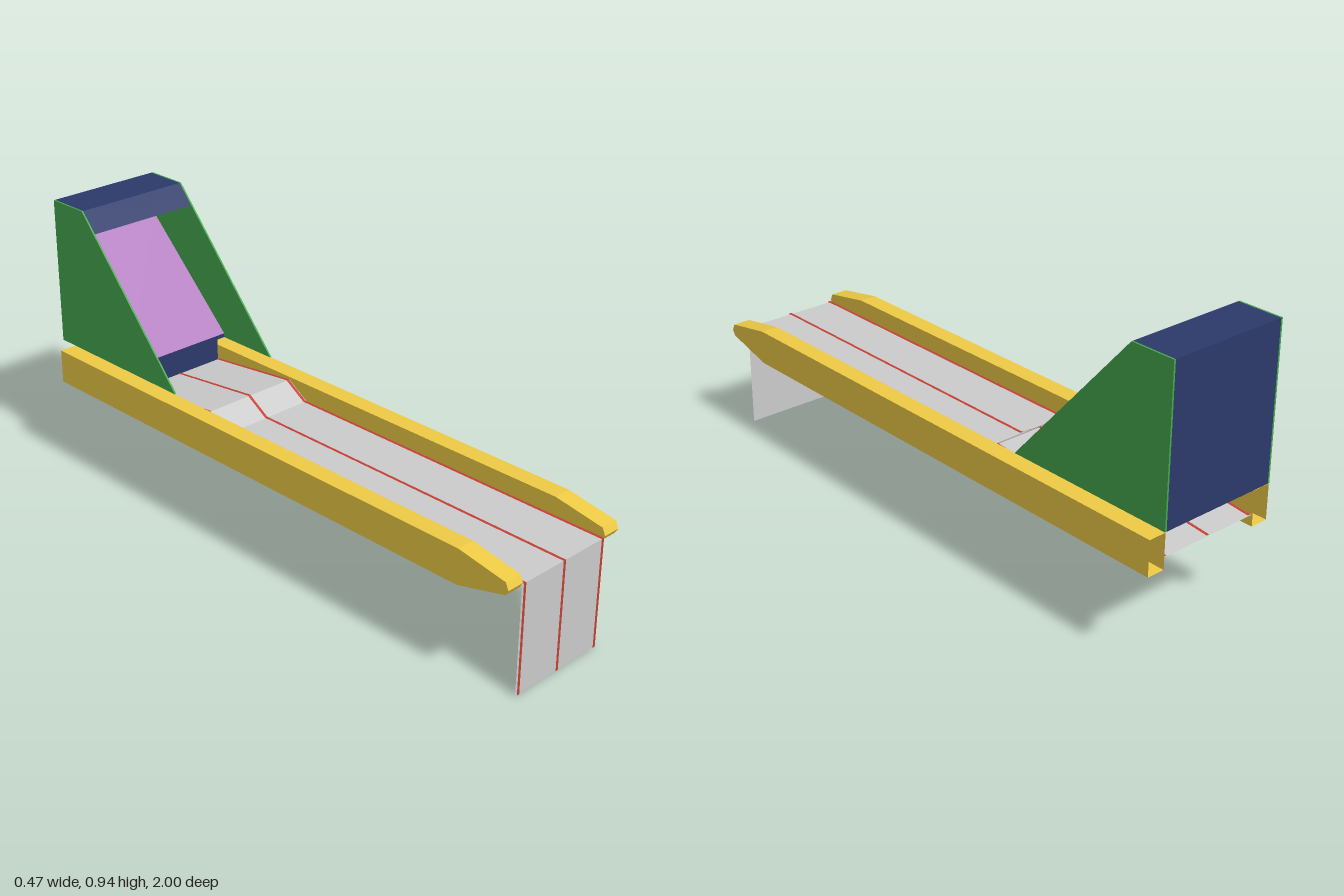
import * as THREE from 'three';

const material = (color) => new THREE.MeshStandardMaterial({ color, side: THREE.DoubleSide });
const grey = material(0xcccccc), gold = material(0xeecb45), red = material(0xc43f33);
const green = material(0x46a84e), navy = material(0x2c3a6a), purple = material(0xb47ec1);

// Sheet following a side profile of [z, y] points, spanning x0 to x1
function strip(points, x0, x1) {
  const pos = [];
  for (let i = 0; i + 1 < points.length; i++) {
    const [za, ya] = points[i], [zb, yb] = points[i + 1];
    pos.push(x0, ya, za, x1, ya, za, x1, yb, zb, x0, ya, za, x1, yb, zb, x0, yb, zb);
  }
  const g = new THREE.BufferGeometry();
  g.setAttribute('position', new THREE.Float32BufferAttribute(pos, 3));
  g.computeVertexNormals();
  return g;
}

const outline = (points) => new THREE.Shape(points.map(([a, b]) => new THREE.Vector2(a, b)));

export function createModel() {
  const model = new THREE.Group();
  const add = (name, geometry, mat, parent = model) => {
    const mesh = new THREE.Mesh(geometry, mat);
    mesh.name = name;
    parent.add(mesh);
    return mesh;
  };

  // Lane: hanging front flap, long flat run, hump and falling rear run
  const lane = [[0.997, 0], [0.997, 0.36], [-0.21, 0.36], [-0.29, 0.41], [-0.64, 0.37], [-0.97, 0.34]];
  add('lane', strip(lane, -0.177, 0.177), grey);

  // Painted lines lie just proud of the lane
  const paint = lane.map(([z, y], i) => [i < 2 ? z + 0.003 : z, i ? y + 0.003 : y]);
  for (const x of [-0.168, 0, 0.168]) add('laneLine', strip(paint, x - 0.005, x + 0.005), red);

  // Hollow side rails with tapered noses, open at the back
  const rail = [[-0.975, 0.305], [0.82, 0.305], [0.99, 0.35], [1, 0.367], [0.99, 0.39], [0.82, 0.42], [-0.975, 0.42]];
  for (const side of [-1, 1]) {
    const group = new THREE.Group();
    group.name = side > 0 ? 'leftRail' : 'rightRail';
    model.add(group);
    add('railShell', strip(rail, side * 0.177, side * 0.237), gold, group);
    for (const x of [0.177, 0.237]) {
      const wall = new THREE.ShapeGeometry(outline(rail)).rotateY(-Math.PI / 2);
      add('railWall', wall.translate(side * x, 0, 0), gold, group);
    }
  }

  // Thin side panels of the target cabinet
  const panel = [[-0.41, 0.443], [-1, 0.443], [-1, 0.94], [-0.85, 0.94]];
  for (const side of [-1, 1]) {
    const g = new THREE.ExtrudeGeometry(outline(panel), { depth: 0.006, bevelEnabled: false });
    g.translate(0, 0, -0.003).rotateY(-Math.PI / 2).translate(side * 0.204, 0, 0);
    add(side > 0 ? 'leftPanel' : 'rightPanel', g, green);
  }

  // Cabinet back, top and sloping header
  add('cabinetHood', strip([[-1, 0.443], [-1, 0.94], [-0.85, 0.94], [-0.795, 0.875]], -0.201, 0.201), navy);

  // Sloping target board and the kick board below it
  add('targetBoard', strip([[-0.64, 0.457], [-0.995, 0.8]], -0.201, 0.201), purple);
  const kick = [[-0.17, 0.37], [0.17, 0.37], [0.17, 0.443], [0.201, 0.443], [0.201, 0.457],
    [-0.201, 0.457], [-0.201, 0.443], [-0.17, 0.443]];
  add('kickBoard', new THREE.ShapeGeometry(outline(kick)).translate(0, 0, -0.64), navy);

  return model;
}
